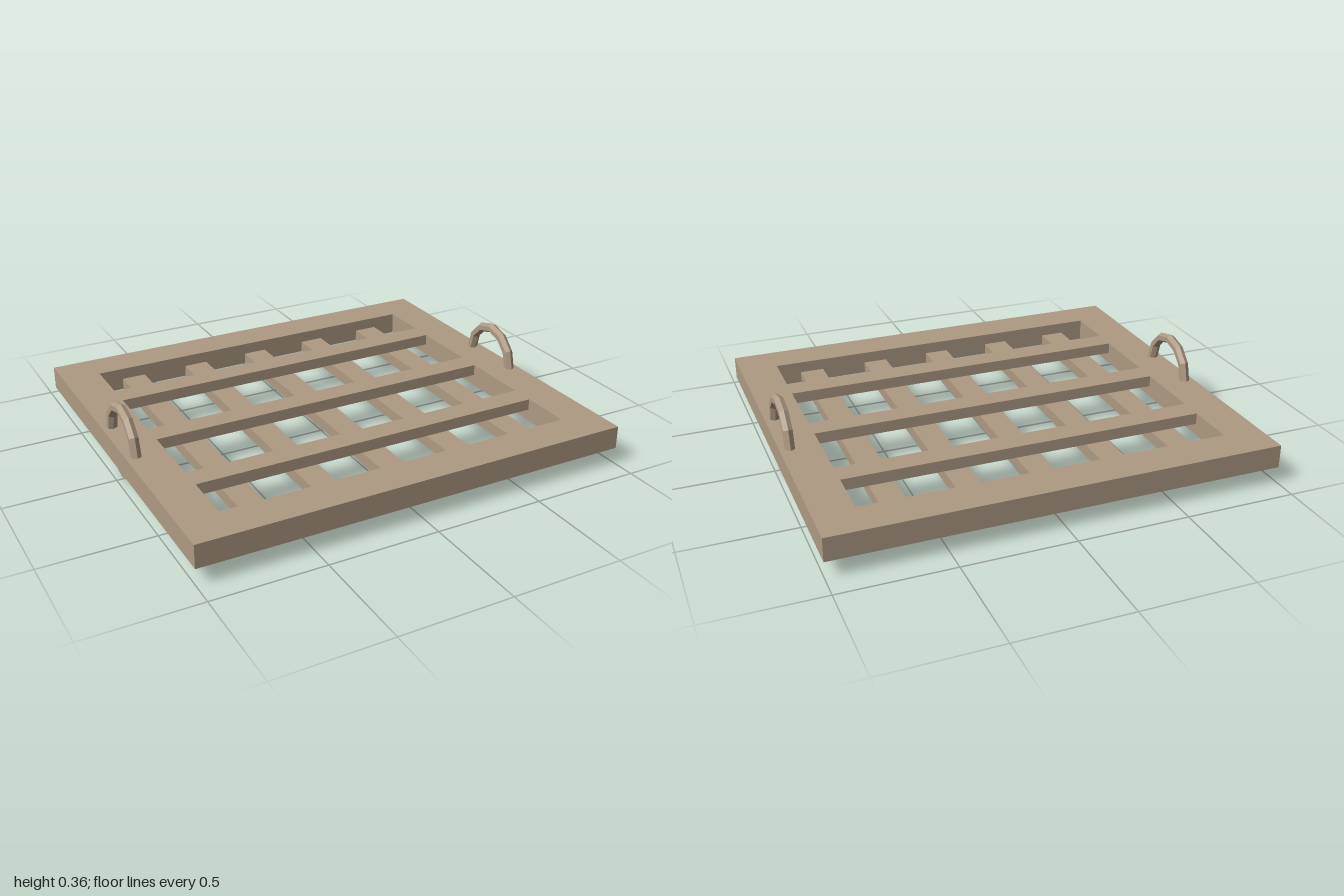
import * as THREE from 'three';

export function createModel() {
  const model = new THREE.Group();
  model.name = 'grate';
  const wood = new THREE.MeshStandardMaterial({ color: 0xad9a83, flatShading: true });
  wood.name = 'tan wood';

  const bottom = 0.075, height = 0.105, half = height / 2;
  const outerX = 1, outerZ = 0.89, innerX = 0.825, innerZ = 0.718;

  const add = (name, geometry, x, y, z) => {
    const mesh = new THREE.Mesh(geometry, wood);
    mesh.name = name;
    mesh.position.set(x, y, z);
    model.add(mesh);
    return mesh;
  };
  const rectangle = (path, x, z) =>
    path.moveTo(-x, -z).lineTo(x, -z).lineTo(x, z).lineTo(-x, z).closePath();

  // Outer frame, one slab with a rectangular opening
  const outline = rectangle(new THREE.Shape(), outerX, outerZ);
  outline.holes.push(rectangle(new THREE.Path(), innerX, innerZ));
  const frame = new THREE.ExtrudeGeometry(outline, { depth: height, bevelEnabled: false });
  frame.rotateX(-Math.PI / 2);
  add('frame', frame, 0, bottom, 0);

  // Slats across the width, in the upper half of the frame
  for (const z of [-0.437, -0.003, 0.432]) {
    add('upperSlat', new THREE.BoxGeometry(innerX * 2, half, 0.107), 0, bottom + half * 1.5, z);
  }

  // Bars from front to back, in the lower half
  for (let i = -2; i <= 2; i++) {
    add('lowerBar', new THREE.BoxGeometry(0.113, half, innerZ * 2), i * 0.327 - 0.002, bottom + half / 2, 0);
  }

  // Ring handles through the two side rails
  for (const side of [-1, 1]) {
    const ring = new THREE.TorusGeometry(0.1545, 0.0235, 6, 12);
    ring.rotateY(Math.PI / 2);
    add(side > 0 ? 'leftRing' : 'rightRing', ring, side * 0.955, 0.178, 0);
  }
  return model;
}
